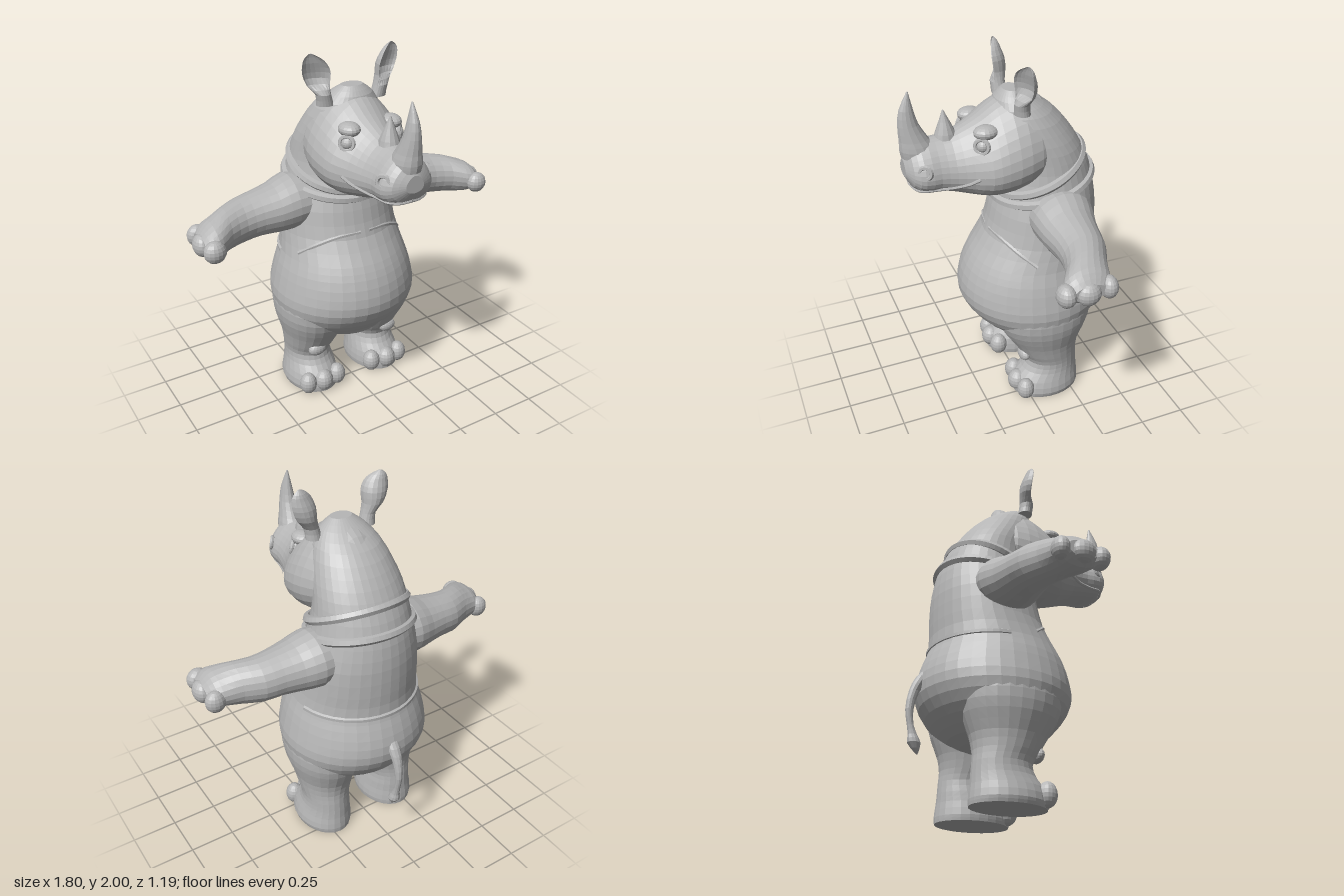
import * as THREE from 'three';

const hide = new THREE.MeshStandardMaterial({ color: 0xb6b6b6 });
hide.name = 'grey hide';

const AXES = { x: ['y', 'z'], y: ['z', 'x'], z: ['x', 'y'] };

// Smooth surface through rows [t, centreU, centreV, radiusU, radiusV] along an axis
function surface(axis, rows, warp = (c, s) => [c, s]) {
  const [u, v] = AXES[axis];
  const spline = new THREE.CubicInterpolant(rows.map(r => r[0]), rows.flatMap(r => r.slice(1)), 4);
  const at = t => Array.from(spline.evaluate(t));
  const point = (t, angle, shrink = 1) => {
    const [cu, cv, ru, rv] = at(t);
    const [c, s] = warp(Math.cos(angle), Math.sin(angle), t);
    const p = new THREE.Vector3();
    p[axis] = t;
    p[u] = cu + Math.max(ru, 0.002) * c * shrink;
    p[v] = cv + Math.max(rv, 0.002) * s * shrink;
    return p;
  };
  return { rows, at, point };
}

// Closed, faceted skin over a surface
function skin({ rows, point }, sides = 24, steps = 2) {
  const ts = [];
  rows.forEach((r, i) => {
    if (i === rows.length - 1) return ts.push(r[0]);
    for (let k = 0; k < steps; k++) ts.push(r[0] + (rows[i + 1][0] - r[0]) * k / steps);
  });
  const ring = (t, shrink) => Array.from({ length: sides }, (_, j) => point(t, j / sides * Math.PI * 2, shrink));
  const rings = [ring(ts[0], 0), ...ts.map(t => ring(t, 1)), ring(ts[ts.length - 1], 0)];
  const pos = [];
  const tri = (a, b, c) => {
    if (a.distanceTo(b) < 1e-6 || b.distanceTo(c) < 1e-6 || a.distanceTo(c) < 1e-6) return;
    for (const p of [a, b, c]) pos.push(p.x, p.y, p.z);
  };
  for (let i = 0; i < rings.length - 1; i++) {
    for (let j = 0; j < sides; j++) {
      const k = (j + 1) % sides;
      tri(rings[i][j], rings[i][k], rings[i + 1][k]);
      tri(rings[i][j], rings[i + 1][k], rings[i + 1][j]);
    }
  }
  const g = new THREE.BufferGeometry();
  g.setAttribute('position', new THREE.Float32BufferAttribute(pos, 3));
  g.computeVertexNormals();
  return g;
}

function facet(g) {
  const f = g.index ? g.toNonIndexed() : g;
  f.computeVertexNormals();
  return f;
}

const ball = (x, y, z, rx, ry, rz) =>
  facet(new THREE.SphereGeometry(1, 16, 10).scale(rx, ry, rz).translate(x, y, z));

const tube = (pts, r, closed = false) =>
  facet(new THREE.TubeGeometry(new THREE.CatmullRomCurve3(pts, closed), closed ? 56 : 32, r, 6, closed));

// Small ring turned to face a direction
function rim(x, y, z, dir, r, thick) {
  const q = new THREE.Quaternion().setFromUnitVectors(new THREE.Vector3(0, 0, 1), new THREE.Vector3(...dir).normalize());
  return facet(new THREE.TorusGeometry(r, thick, 6, 18).applyQuaternion(q).translate(x, y, z));
}

function mirrored(g) {
  const m = g.clone().scale(-1, 1, 1);
  const p = m.attributes.position;
  const a = new THREE.Vector3(), b = new THREE.Vector3();
  for (let i = 0; i < p.count; i += 3) {
    a.fromBufferAttribute(p, i + 1);
    b.fromBufferAttribute(p, i + 2);
    p.setXYZ(i + 1, b.x, b.y, b.z);
    p.setXYZ(i + 2, a.x, a.y, a.z);
  }
  m.computeVertexNormals();
  return m;
}

export function createModel() {
  const model = new THREE.Group();
  model.name = 'rhinoceros';
  const add = (name, g) => {
    const mesh = new THREE.Mesh(g, hide);
    mesh.name = name;
    model.add(mesh);
  };
  const pair = (name, g) => {
    add(name + 'Left', g);
    add(name + 'Right', mirrored(g));
  };

  // Torso, hump and crown
  const body = surface('y', [
    [0.31, -0.1, 0, 0.05, 0.04], [0.35, -0.1, 0, 0.19, 0.16], [0.42, -0.115, 0, 0.28, 0.3],
    [0.5, -0.115, 0, 0.355, 0.385], [0.6, -0.115, 0, 0.41, 0.415], [0.7, -0.115, 0, 0.41, 0.4],
    [0.8, -0.115, 0, 0.38, 0.375], [0.87, -0.12, 0, 0.35, 0.352], [1.0, -0.16, 0, 0.31, 0.33],
    [1.15, -0.18, 0, 0.29, 0.315], [1.28, -0.19, 0, 0.265, 0.28], [1.4, -0.185, 0, 0.235, 0.255],
    [1.5, -0.16, 0, 0.21, 0.24], [1.6, -0.105, 0, 0.2, 0.215], [1.7, -0.055, 0, 0.16, 0.175],
    [1.77, -0.015, 0, 0.1, 0.12], [1.815, 0, 0, 0.045, 0.06]]);
  add('body', skin(body, 36));

  // Head and muzzle, narrower at the top
  const head = surface('z', [
    [-0.25, 0, 1.55, 0.1, 0.1], [-0.15, 0, 1.555, 0.2, 0.2], [-0.02, 0, 1.545, 0.25, 0.255],
    [0.1, 0, 1.515, 0.25, 0.245], [0.18, 0, 1.49, 0.232, 0.215], [0.26, 0, 1.475, 0.185, 0.185],
    [0.34, 0, 1.47, 0.155, 0.155], [0.42, 0, 1.475, 0.142, 0.14], [0.5, 0, 1.475, 0.142, 0.13],
    [0.55, 0, 1.475, 0.11, 0.1], [0.58, 0, 1.475, 0.05, 0.045]],
  (c, s) => [c * (1 - 0.28 * s), s]);
  add('head', skin(head, 32));

  // Mouth line laid on the muzzle
  const mouth = [[0.24, 1.435], [0.29, 1.405], [0.36, 1.385], [0.44, 1.38], [0.51, 1.38], [0.54, 1.375], [0.553, 1.36]]
    .map(([z, y]) => {
      const [, cy, , ry] = head.at(z);
      return head.point(z, Math.asin(Math.max(-1, (y - cy) / ry)));
    });
  pair('lip', tube(mouth, 0.009));

  // Eyes, brows and nostrils
  pair('eye', ball(0.147, 1.59, 0.205, 0.034, 0.034, 0.034));
  pair('eyelid', rim(0.158, 1.592, 0.215, [0.75, 0.15, 0.62], 0.036, 0.011));
  pair('brow', ball(0.122, 1.65, 0.18, 0.055, 0.036, 0.065));
  pair('nostril', rim(0.13, 1.488, 0.5, [0.8, 0.1, 0.55], 0.03, 0.012));

  // Horns
  add('frontHorn', skin(surface('y', [
    [1.53, 0.5, 0, 0.085, 0.07], [1.57, 0.5, 0, 0.092, 0.073], [1.62, 0.516, 0, 0.075, 0.06],
    [1.7, 0.54, 0, 0.053, 0.042], [1.78, 0.545, 0, 0.036, 0.027], [1.87, 0.532, 0, 0.004, 0.004]]), 14));
  add('rearHorn', skin(surface('y', [
    [1.58, 0.35, 0, 0.07, 0.06], [1.63, 0.352, 0, 0.052, 0.05], [1.69, 0.355, 0, 0.027, 0.027],
    [1.75, 0.36, 0, 0.003, 0.003]]), 12));

  // Ears, hollow at the front above the stem
  const ear = skin(surface('y', [
    [1.73, -0.01, 0.16, 0.045, 0.045], [1.79, 0, 0.17, 0.045, 0.04], [1.84, 0.015, 0.195, 0.065, 0.058],
    [1.9, 0.025, 0.204, 0.07, 0.072], [1.95, 0.03, 0.213, 0.055, 0.062], [1.98, 0.025, 0.224, 0.035, 0.04],
    [2.0, 0.015, 0.232, 0.006, 0.008]],
  (c, s, t) => [c > 0 ? c * (0.8 - 1.35 * THREE.MathUtils.smoothstep(t, 1.78, 1.86)) : c, s]), 18);
  pair('ear', ear.translate(-0.2, 0, 0).rotateY(0.35).translate(0.2, 0, 0));

  // Arms and fingers
  pair('arm', skin(surface('x', [
    [0.15, 1.17, -0.17, 0.13, 0.16], [0.3, 1.165, -0.175, 0.152, 0.17], [0.4, 1.15, -0.165, 0.135, 0.15],
    [0.5, 1.143, -0.16, 0.122, 0.13], [0.6, 1.132, -0.15, 0.118, 0.12], [0.7, 1.125, -0.11, 0.11, 0.113],
    [0.77, 1.115, -0.075, 0.098, 0.125], [0.82, 1.11, -0.06, 0.082, 0.122], [0.86, 1.105, -0.055, 0.045, 0.085]]), 22));
  [[0.825, 0.055, 0.06, 0.05], [0.853, -0.05, 0.047, 0.062], [0.832, -0.165, 0.055, 0.045]]
    .forEach(([x, z, rx, rz], i) => pair('finger' + (i + 1), ball(x, 1.098, z, rx, 0.06, rz)));

  // Legs, kneecaps and toes
  pair('leg', skin(surface('y', [
    [0, -0.13, 0.215, 0.2, 0.148], [0.03, -0.13, 0.217, 0.202, 0.155], [0.1, -0.135, 0.215, 0.19, 0.145],
    [0.15, -0.155, 0.213, 0.167, 0.135], [0.21, -0.165, 0.215, 0.153, 0.13], [0.27, -0.147, 0.21, 0.168, 0.145],
    [0.35, -0.13, 0.205, 0.2, 0.165], [0.45, -0.12, 0.207, 0.25, 0.192], [0.55, -0.115, 0.22, 0.272, 0.19],
    [0.65, -0.115, 0.22, 0.24, 0.17], [0.75, -0.115, 0.22, 0.12, 0.08]]), 26));
  pair('kneecap', ball(0.24, 0.275, 0.015, 0.055, 0.04, 0.032));
  [[0.122, 0.03, 0.052], [0.218, 0.045, 0.056], [0.312, 0.03, 0.05]]
    .forEach(([x, z, r], i) => pair('toe' + (i + 1), ball(x, 0.066, z, r, 0.065, r)));

  // Tail with tuft
  add('tail', skin(surface('y', [
    [0.275, -0.525, 0, 0.004, 0.004], [0.33, -0.543, 0, 0.034, 0.032], [0.37, -0.553, 0, 0.024, 0.023],
    [0.42, -0.567, 0, 0.017, 0.018], [0.5, -0.576, 0, 0.021, 0.021], [0.6, -0.556, 0, 0.028, 0.027],
    [0.68, -0.515, 0, 0.035, 0.036], [0.73, -0.48, 0, 0.025, 0.03]]), 12));

  // Skin folds around the neck: front z and y, back z and y, half width
  [[0.08, 1.255, -0.38, 1.47, 0.265], [0.095, 1.215, -0.438, 1.34, 0.283]].forEach(([fz, fy, bz, by, rx], i) => {
    const pts = Array.from({ length: 20 }, (_, k) => {
      const a = k / 20 * Math.PI * 2, m = (1 + Math.cos(a)) / 2;
      return new THREE.Vector3(Math.sin(a) * rx, by + (fy - by) * m, bz + (fz - bz) * m);
    });
    add('neckFold' + (i + 1), tube(pts, 0.024, true));
  });

  // Chest and waist folds laid on the torso
  pair('chestFold', tube([[1.03, 0.08], [1.02, 0.45], [0.975, 0.85], [0.91, 1.25]]
    .map(([y, a]) => body.point(y, a, 0.985)), 0.012));
  add('waistFold', tube(Array.from({ length: 15 }, (_, k) => body.point(0.865, 1.75 + k * 0.199, 0.985)), 0.016));

  return model;
}
